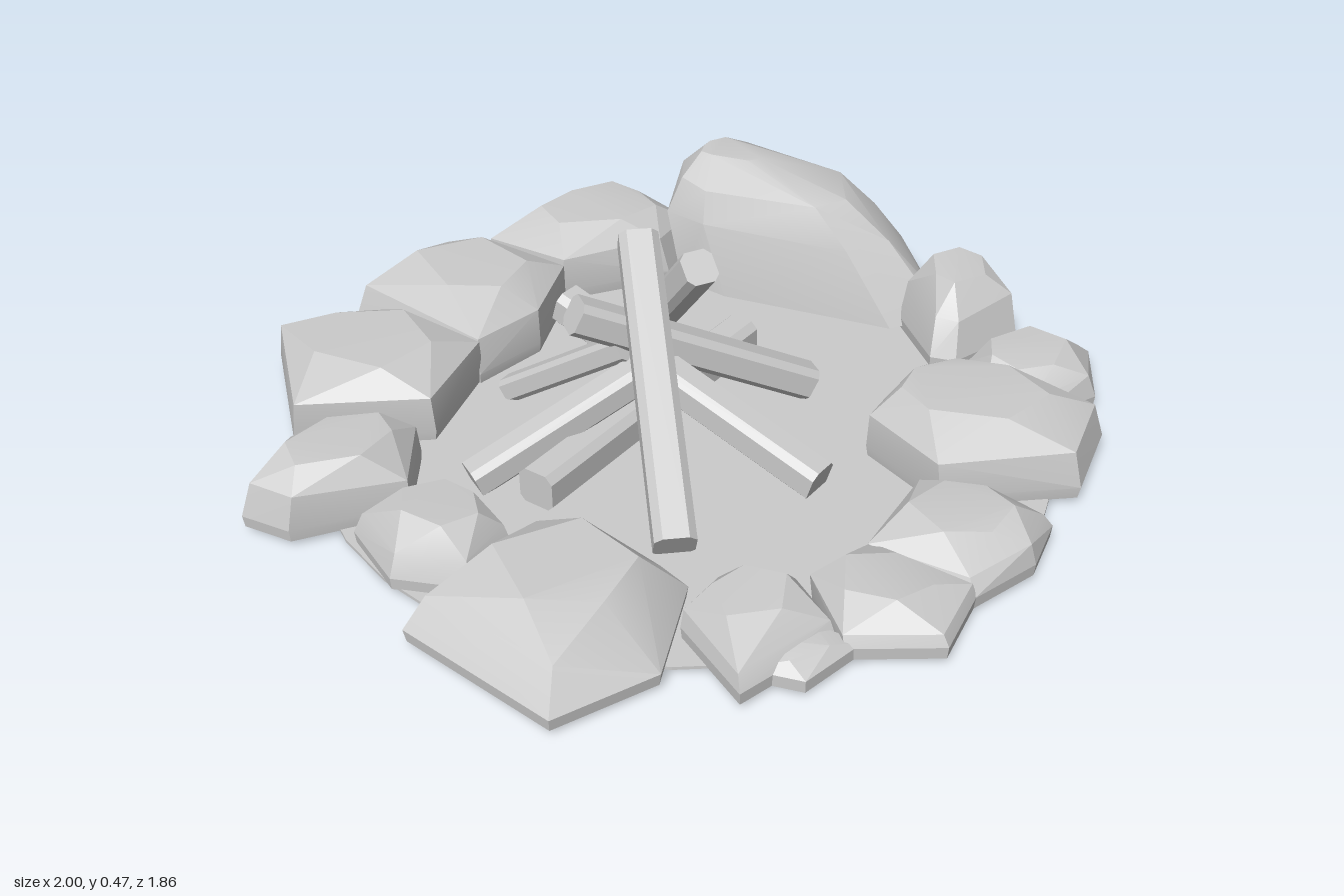
import * as THREE from 'three';
import { toCreasedNormals } from 'three/addons/utils/BufferGeometryUtils.js';
import { ConvexGeometry } from 'three/addons/geometries/ConvexGeometry.js';

const material = new THREE.MeshStandardMaterial({ color: 0xcccccc });
const facetMaterial = new THREE.MeshStandardMaterial({ color: 0xcccccc, flatShading: true });

// Small seeded generator giving -1..1
let seed = 7;
function jitter() {
  seed = (seed * 16807) % 2147483647;
  return (seed / 2147483647) * 2 - 1;
}

// Rock: hull of a ground outline [x, z, ...] repeated at several levels.
// Level: y, scale, dx, dz, rough (random variation), twist (0..1 of the way to the next corner)
function rock(name, outline, levels, crease) {
  const corners = [];
  for (let i = 0; i < outline.length; i += 2) corners.push(new THREE.Vector2(outline[i], outline[i + 1]));
  const centre = corners.reduce((sum, c) => sum.add(c), new THREE.Vector2()).divideScalar(corners.length);
  const points = [];
  for (const { y, scale, dx = 0, dz = 0, rough = 0, twist = 0 } of levels) {
    corners.forEach((corner, i) => {
      const c = corner.clone().lerp(corners[(i + 1) % corners.length], twist).sub(centre);
      const s = scale * (1 + rough * jitter());
      points.push(new THREE.Vector3(centre.x + c.x * s + dx, y + rough * 0.12 * jitter(), centre.y + c.y * s + dz));
    });
  }
  const mesh = new THREE.Mesh(toCreasedNormals(new ConvexGeometry(points), crease), material);
  mesh.name = name;
  return mesh;
}

// Ring stone: base, rough shoulder (scale given) and a smaller twisted top leaning by dx, dz
function stone(name, height, shoulder, dx, dz, outline) {
  return rock(name, outline, [
    { y: 0.027, scale: 0.98 },
    { y: 0.055, scale: 1 },
    { y: height * 0.68, scale: shoulder, dx: dx * 0.5, dz: dz * 0.5, rough: 0.09 },
    { y: height - 0.004, scale: 0.64, dx, dz, rough: 0.06, twist: 0.35 },
  ], 0.3);
}

// Log: upright square bar with chamfered edges between two points
function log(name, from, to, width) {
  const a = new THREE.Vector3(...from), b = new THREE.Vector3(...to);
  const h = width / 2, k = h * 0.62;
  const section = new THREE.Shape([
    [h, -k], [h, k], [k, h], [-k, h], [-h, k], [-h, -k], [-k, -h], [k, -h],
  ].map(([x, y]) => new THREE.Vector2(x, y)));
  const geometry = new THREE.ExtrudeGeometry(section, { depth: a.distanceTo(b), bevelEnabled: false });
  const mesh = new THREE.Mesh(geometry, facetMaterial);
  mesh.position.copy(a);
  mesh.lookAt(b);
  mesh.name = name;
  return mesh;
}

export function createModel() {
  seed = 7;
  const model = new THREE.Group();
  model.name = 'campfire';

  // Ground disc
  const ground = new THREE.Mesh(new THREE.CylinderGeometry(0.84, 0.84, 0.007, 32), facetMaterial);
  ground.position.set(-0.03, 0.0255, 0.03);
  ground.name = 'groundDisc';
  model.add(ground);

  // Ring of stones
  const stones = new THREE.Group();
  stones.name = 'stoneRing';
  stones.add(
    stone('backRightStone', 0.2, 0.9, -0.01, 0.02,
      [-0.39, -0.93, -0.15, -0.81, -0.16, -0.48, -0.42, -0.39, -0.63, -0.63]),
    stone('backStone', 0.2, 0.93, 0.02, -0.02,
      [-0.15, -0.91, 0.18, -0.9, 0.24, -0.55, 0.02, -0.45, -0.18, -0.47]),
    stone('backLeftStone', 0.2, 0.94, 0, 0.01,
      [0.25, -0.82, 0.41, -0.83, 0.67, -0.76, 0.7, -0.66, 0.68, -0.45, 0.5, -0.41, 0.25, -0.57]),
    stone('leftSmallStone', 0.22, 0.85, 0.04, -0.02,
      [0.52, 0.36, 0.65, 0.2, 0.75, 0.27, 0.83, 0.32, 0.74, 0.48, 0.54, 0.42]),
    stone('frontLeftStone', 0.15, 0.9, -0.02, -0.01,
      [0.43, 0.56, 0.49, 0.45, 0.7, 0.48, 0.77, 0.66, 0.59, 0.76, 0.42, 0.69]),
    stone('frontLargeStone', 0.19, 0.92, 0, -0.02,
      [0.02, 0.66, 0.1, 0.43, 0.17, 0.41, 0.4, 0.43, 0.47, 0.57, 0.45, 0.84, 0.23, 0.89]),
    stone('frontStone', 0.14, 0.95, -0.01, -0.02,
      [-0.24, 0.65, 0, 0.62, 0.09, 0.72, 0.07, 0.9, -0.07, 0.93, -0.24, 0.88]),
    stone('frontLowStone', 0.12, 0.92, 0, -0.02,
      [-0.52, 0.75, -0.4, 0.6, -0.22, 0.64, -0.23, 0.88, -0.4, 0.91]),
    stone('frontRightPebble', 0.08, 0.9, 0, 0,
      [-0.64, 0.74, -0.68, 0.62, -0.5, 0.62, -0.48, 0.77]),
    stone('frontRightStone', 0.14, 0.88, 0.01, -0.02,
      [-0.74, 0.66, -0.65, 0.46, -0.53, 0.46, -0.42, 0.59, -0.5, 0.72]),
    stone('rightLargeStone', 0.17, 0.82, 0.05, -0.03,
      [-0.97, 0.03, -0.62, 0.06, -0.54, 0.4, -0.78, 0.51, -1, 0.42]),
    stone('rightStone', 0.16, 0.92, 0.01, 0,
      [-0.87, -0.1, -0.8, -0.27, -0.62, -0.22, -0.6, -0.1, -0.65, 0.04, -0.8, 0.05]),
    stone('rightBackStone', 0.18, 0.9, 0.01, 0.01,
      [-0.9, -0.5, -0.69, -0.6, -0.53, -0.45, -0.5, -0.36, -0.66, -0.24, -0.88, -0.38]),
    // Tall boulder, highest towards the back and tapering to the front
    rock('boulder',
      [0.5, -0.4, 0.65, -0.47, 0.8, -0.49, 1, -0.4, 0.94, 0.1, 0.74, 0.28, 0.6, 0.2, 0.49, -0.25],
      [
        { y: 0.04, scale: 0.96, dz: 0.015 },
        { y: 0.11, scale: 0.91, dx: 0.025, dz: -0.04, rough: 0.02 },
        { y: 0.22, scale: 0.82, dx: -0.02, dz: -0.07, rough: 0.03 },
        { y: 0.305, scale: 0.62, dx: -0.03, dz: -0.1, rough: 0.05 },
        { y: 0.36, scale: 0.22, dx: -0.04, dz: -0.17 },
      ], 0.45)
  );
  model.add(stones);

  // Stacked logs
  const logs = new THREE.Group();
  logs.name = 'logPile';
  logs.add(
    log('lyingLog', [-0.48, 0.07, -0.045], [0.31, 0.08, -0.05], 0.09),
    log('frontLog', [-0.08, 0.055, 0.42], [-0.08, 0.27, -0.28], 0.082),
    log('longLeaningLog', [-0.455, 0.06, 0.305], [-0.005, 0.45, -0.125], 0.09),
    log('backLeaningLog', [0.13, 0.05, -0.27], [-0.04, 0.455, 0.07], 0.078),
    log('crossLeaningLog', [0.25, 0.06, 0.18], [-0.22, 0.35, -0.14], 0.08),
    log('rightLog', [-0.51, 0.05, -0.2], [-0.1, 0.22, 0.0], 0.075),
    log('backLog', [-0.165, 0.04, -0.39], [-0.14, 0.26, -0.06], 0.06)
  );
  model.add(logs);

  return model;
}
